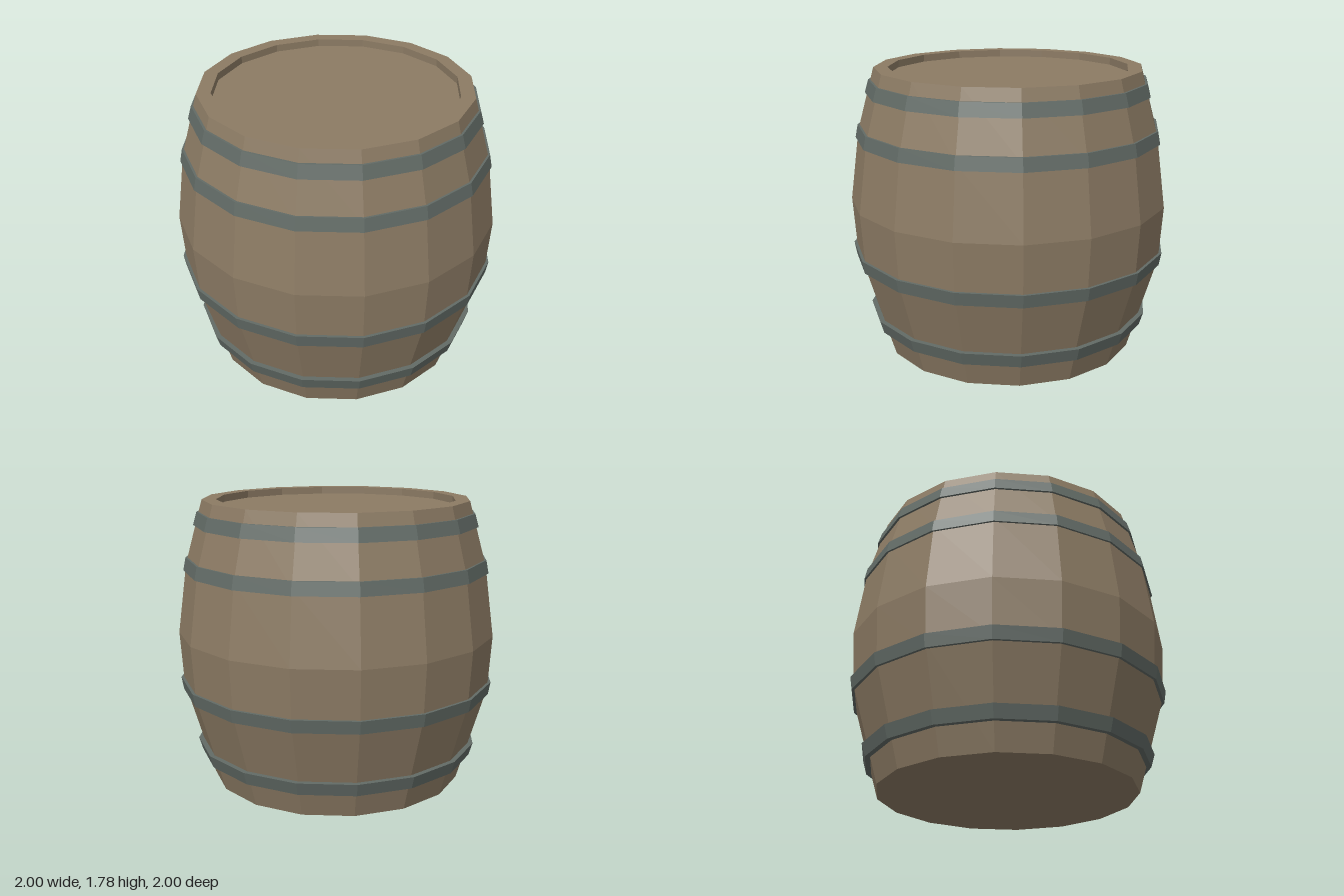
import * as THREE from 'three';

const SIDES = 16;

// Faceted solid of revolution from [radius, height] pairs, listed bottom to top on the outside
function turned(name, profile, material) {
  const points = profile.map(([r, y]) => new THREE.Vector2(r, y));
  const mesh = new THREE.Mesh(new THREE.LatheGeometry(points, SIDES), material);
  mesh.name = name;
  return mesh;
}

export function createModel() {
  const wood = new THREE.MeshStandardMaterial({ color: 0x8c7b64 });
  const iron = new THREE.MeshStandardMaterial({ color: 0x626b66 });
  wood.name = 'wood';
  iron.name = 'iron';
  wood.flatShading = iron.flatShading = true;

  const barrel = new THREE.Group();
  barrel.name = 'barrel';

  // Bulging staves with a flat bottom, a raised rim and its inner wall
  barrel.add(turned('staves', [
    [0, 0], [0.8, 0], [0.978, 0.61], [1, 0.95], [0.941, 1.385],
    [0.832, 1.78], [0.745, 1.78], [0.745, 1.735],
  ], wood));

  // Sunken lid
  barrel.add(turned('lid', [[0.745, 1.735], [0, 1.735]], wood));

  // Hoops: bottom height, bottom radius, top height, top radius
  const hoops = [
    ['bottomHoop', 0.16, 0.878, 0.24, 0.902],
    ['lowerHoop', 0.575, 0.985, 0.655, 0.999],
    ['upperHoop', 1.345, 0.959, 1.425, 0.943],
    ['topHoop', 1.625, 0.889, 1.705, 0.866],
  ];
  for (const [name, y0, r0, y1, r1] of hoops) {
    const inset = 0.045;
    barrel.add(turned(name, [[r0 - inset, y0], [r0, y0], [r1, y1], [r1 - inset, y1]], iron));
  }

  return barrel;
}
